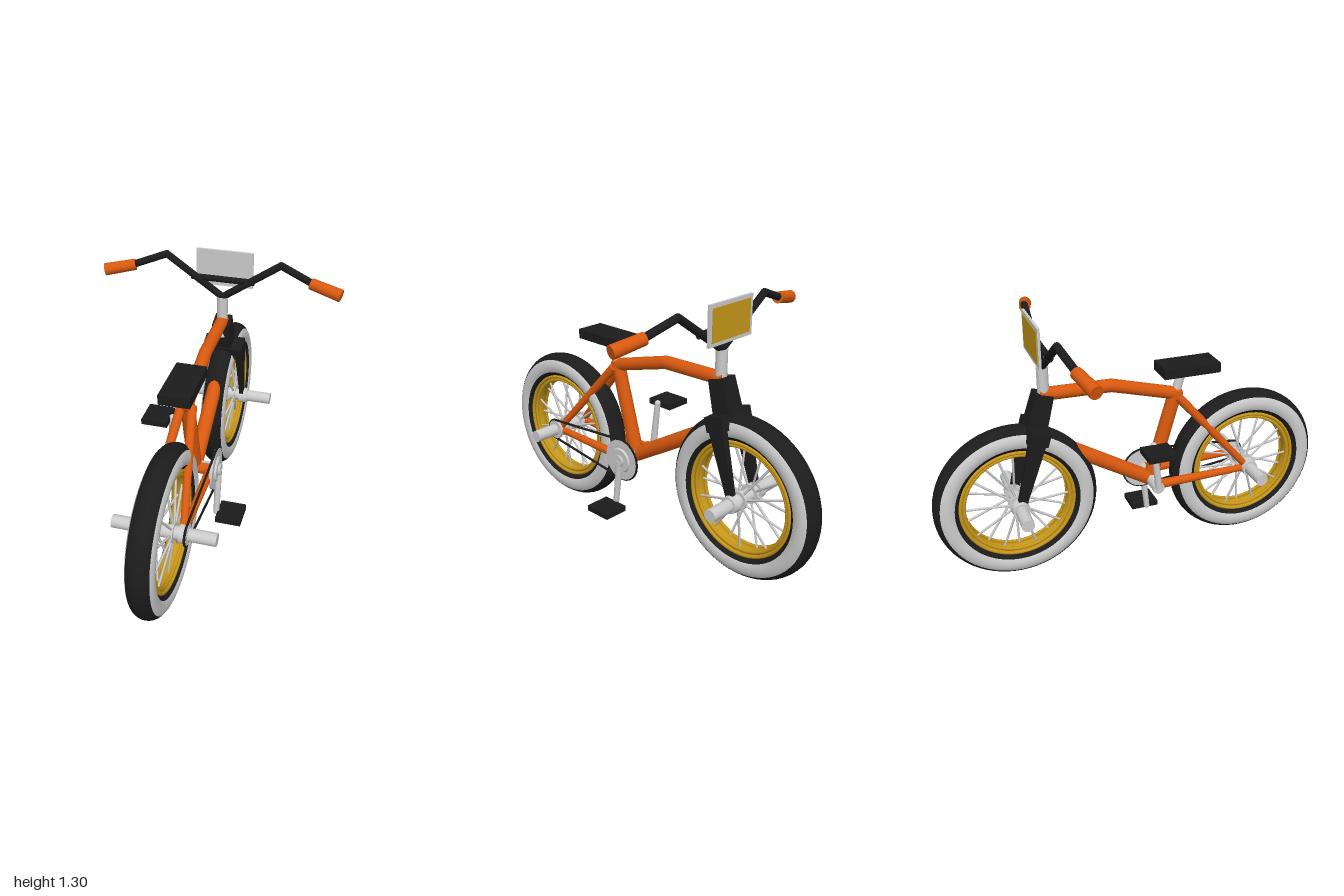
import * as THREE from 'three';

const mat = (color, extra = {}) => new THREE.MeshStandardMaterial({ color, ...extra });
const grey = mat(0xcccccc);
const orange = mat(0xd9590f);
const black = mat(0x1c1c1c);
const blackFlat = mat(0x1c1c1c, { flatShading: true });
const gold = mat(0xc8981a);
const V = (x, y, z) => new THREE.Vector3(x, y, z);
const UP = V(0, 1, 0);

function add(parent, name, geometry, material, pos = [0, 0, 0]) {
  const m = new THREE.Mesh(geometry, material);
  m.name = name;
  m.position.set(...pos);
  parent.add(m);
  return m;
}

// Tapered round tube between two points
function rod(parent, name, a, b, r1, r2, material, sides = 14) {
  const A = V(...a), B = V(...b), d = B.clone().sub(A);
  const m = add(parent, name, new THREE.CylinderGeometry(r2, r1, d.length(), sides), material);
  m.position.copy(A).add(B).multiplyScalar(0.5);
  m.quaternion.setFromUnitVectors(UP, d.normalize());
  return m;
}

// Tapered square bar between two points; half sizes at each end, x squeezed by sx
function squareBar(parent, name, a, b, h1, h2, sx, material) {
  const A = V(...a), B = V(...b), d = B.clone().sub(A), k = Math.SQRT2;
  const g = new THREE.CylinderGeometry(h2 * k, h1 * k, d.length(), 4).rotateY(Math.PI / 4);
  const m = add(parent, name, g.scale(sx, 1, 1), material);
  m.position.copy(A).add(B).multiplyScalar(0.5);
  m.quaternion.setFromUnitVectors(UP, d.normalize());
}

// Tube through points with rounded joints
function bentTube(parent, name, pts, r, material) {
  const g = new THREE.Group();
  g.name = name;
  parent.add(g);
  for (let i = 1; i < pts.length; i++) {
    rod(g, name + 'Section', pts[i - 1], pts[i], r, r, material);
    if (i < pts.length - 1) add(g, name + 'Joint', new THREE.SphereGeometry(r, 14, 10), material, pts[i]);
  }
}

const lathe = (pts) =>
  new THREE.LatheGeometry(pts.map(p => new THREE.Vector2(...p)), 64).rotateZ(-Math.PI / 2);

// Band of the round tyre section between two angles (degrees, 0 = tread centre)
function tyreBand(from, to) {
  const pts = [];
  for (let i = 0; i <= 12; i++) {
    const a = THREE.MathUtils.degToRad(from + (to - from) * i / 12);
    pts.push([0.335 + 0.065 * Math.cos(a), 0.065 * Math.sin(a)]);
  }
  return lathe(pts);
}

function makeWheel(name, z) {
  const w = new THREE.Group();
  w.name = name;
  w.position.set(0, 0.41, z);
  add(w, 'tyreTread', tyreBand(-55, 55), black);
  add(w, 'tyreInner', tyreBand(118, 242), black);
  add(w, 'leftWhitewall', tyreBand(55, 118), grey);
  add(w, 'rightWhitewall', tyreBand(-118, -55), grey);
  add(w, 'rim', lathe([[0.28, -0.035], [0.28, 0.035], [0.255, 0.03], [0.252, 0], [0.255, -0.03], [0.28, -0.035]]), gold);
  for (const s of [-1, 1]) {
    for (const [R, x] of [[0.276, 0.04], [0.258, 0.031]])
      add(w, 'rimRidge', new THREE.TorusGeometry(R, 0.009, 8, 64).rotateY(Math.PI / 2), gold, [s * x, 0, 0]);
    rod(w, 'hubFlange', [s * 0.035, 0, 0], [s * 0.05, 0, 0], 0.048, 0.048, grey, 24);
    rod(w, 'axleNut', [s * 0.075, 0, 0], [s * 0.115, 0, 0], 0.045, 0.04, grey, 20);
    rod(w, 'peg', [s * 0.1, 0, 0], [s * 0.245, 0, 0], 0.031, 0.031, grey, 16);
  }
  rod(w, 'hub', [-0.1, 0, 0], [0.1, 0, 0], 0.032, 0.032, grey, 20);
  for (let i = 0; i < 20; i++) {
    const a = i * Math.PI / 10, c = Math.cos(a), s = Math.sin(a), x = i % 2 ? 0.042 : -0.042;
    rod(w, 'spoke', [x, 0.035 * s, 0.035 * c], [x * 0.3, 0.26 * s, 0.26 * c], 0.006, 0.006, grey, 6);
  }
  return w;
}

export function createModel() {
  const bike = new THREE.Group();
  bike.name = 'bicycle';
  bike.add(makeWheel('rearWheel', 0.6), makeWheel('frontWheel', -0.6));

  // Frame
  const frame = new THREE.Group();
  frame.name = 'frame';
  bike.add(frame);
  bentTube(frame, 'topTube', [[0, 0.845, 0.23], [0, 0.938, -0.11], [0, 0.945, -0.46]], 0.032, orange);
  add(frame, 'seatJoint', new THREE.SphereGeometry(0.036, 14, 10), orange, [0, 0.845, 0.22]);
  rod(frame, 'seatTube', [0, 0.4, 0.09], [0, 0.865, 0.22], 0.036, 0.034, orange);
  rod(frame, 'downTube', [0, 0.395, 0.09], [0, 0.74, -0.485], 0.037, 0.037, orange);
  for (const s of [-1, 1]) {
    rod(frame, 'chainStay', [s * 0.083, 0.4, 0.1], [s * 0.088, 0.41, 0.59], 0.024, 0.017, orange);
    rod(frame, 'seatStay', [s * 0.025, 0.84, 0.22], [s * 0.088, 0.415, 0.59], 0.023, 0.017, orange);
  }
  rod(frame, 'stayBridge', [-0.1, 0.4, 0.1], [0.1, 0.4, 0.1], 0.03, 0.03, orange);

  // Fork, leaning forward to the front axle
  const fork = new THREE.Group();
  fork.name = 'fork';
  bike.add(fork);
  squareBar(fork, 'forkNeck', [0, 0.95, -0.443], [0, 0.76, -0.497], 0.043, 0.05, 1, blackFlat);
  const crown = add(fork, 'forkCrown', new THREE.BoxGeometry(0.208, 0.07, 0.1), blackFlat, [0, 0.765, -0.492]);
  crown.rotation.x = 0.28;
  for (const s of [-1, 1])
    squareBar(fork, 'forkLeg', [s * 0.086, 0.78, -0.49], [s * 0.086, 0.4, -0.6], 0.042, 0.02, 0.45, blackFlat);

  // Steering
  const steering = new THREE.Group();
  steering.name = 'steering';
  bike.add(steering);
  rod(steering, 'stem', [0, 0.86, -0.44], [0, 1.08, -0.44], 0.028, 0.028, grey);
  bentTube(steering, 'handlebar', [
    [-0.47, 1.215, -0.4], [-0.29, 1.28, -0.44], [0, 1.08, -0.44], [0.29, 1.28, -0.44], [0.47, 1.215, -0.4],
  ], 0.018, black);
  rod(steering, 'crossbar', [-0.16, 1.175, -0.44], [0.16, 1.175, -0.44], 0.016, 0.016, black);
  for (const s of [-1, 1])
    rod(steering, 'grip', [s * 0.445, 1.22, -0.405], [s * 0.597, 1.19, -0.37], 0.028, 0.031, orange);
  add(steering, 'plate', new THREE.BoxGeometry(0.29, 0.187, 0.012), grey, [0, 1.218, -0.48]);
  add(steering, 'plateFace', new THREE.BoxGeometry(0.255, 0.152, 0.006), gold, [0, 1.218, -0.486]);

  // Saddle
  rod(bike, 'seatPost', [0, 0.84, 0.215], [0, 0.97, 0.252], 0.022, 0.022, grey);
  add(bike, 'saddle', new THREE.BoxGeometry(0.145, 0.048, 0.29), blackFlat, [0, 0.981, 0.277]);

  // Drivetrain
  const drive = new THREE.Group();
  drive.name = 'drivetrain';
  bike.add(drive);
  rod(drive, 'crankAxle', [-0.125, 0.4, 0.09], [0.135, 0.4, 0.09], 0.03, 0.03, grey, 18);
  rod(drive, 'chainring', [0.1, 0.4, 0.09], [0.114, 0.4, 0.09], 0.105, 0.105, grey, 36);
  rod(drive, 'chainringBoss', [0.113, 0.4, 0.09], [0.124, 0.4, 0.09], 0.065, 0.06, grey, 28);
  rod(drive, 'sprocket', [0.1, 0.41, 0.6], [0.114, 0.41, 0.6], 0.05, 0.05, grey, 28);

  // Chain: arcs around both cogs joined into one loop
  const loop = new THREE.CurvePath();
  const pts = [];
  for (const [z, y, r, start] of [[0.09, 0.4, 0.107, Math.PI / 2], [0.6, 0.41, 0.053, -Math.PI / 2]])
    for (let i = 0; i <= 12; i++) {
      const a = start + i * Math.PI / 12;
      pts.push(V(0.107, y + r * Math.sin(a), z + r * Math.cos(a)));
    }
  pts.forEach((p, i) => loop.add(new THREE.LineCurve3(p, pts[(i + 1) % pts.length])));
  add(drive, 'chain', new THREE.TubeGeometry(loop, 160, 0.006, 6, true), black);

  // Cranks and pedals, half a turn apart
  for (const s of [-1, 1]) {
    const end = [s * 0.122, 0.4 - s * 0.247, 0.09 + s * 0.03];
    rod(drive, 'crankArm', [s * 0.122, 0.4, 0.09], end, 0.018, 0.015, grey);
    add(drive, 'crankEnd', new THREE.SphereGeometry(0.016, 12, 8), grey, end);
    add(drive, 'pedal', new THREE.BoxGeometry(0.13, 0.028, 0.142), blackFlat, [s * 0.195, 0.395 - s * 0.246, 0.085 + s * 0.029]);
  }
  return bike;
}
